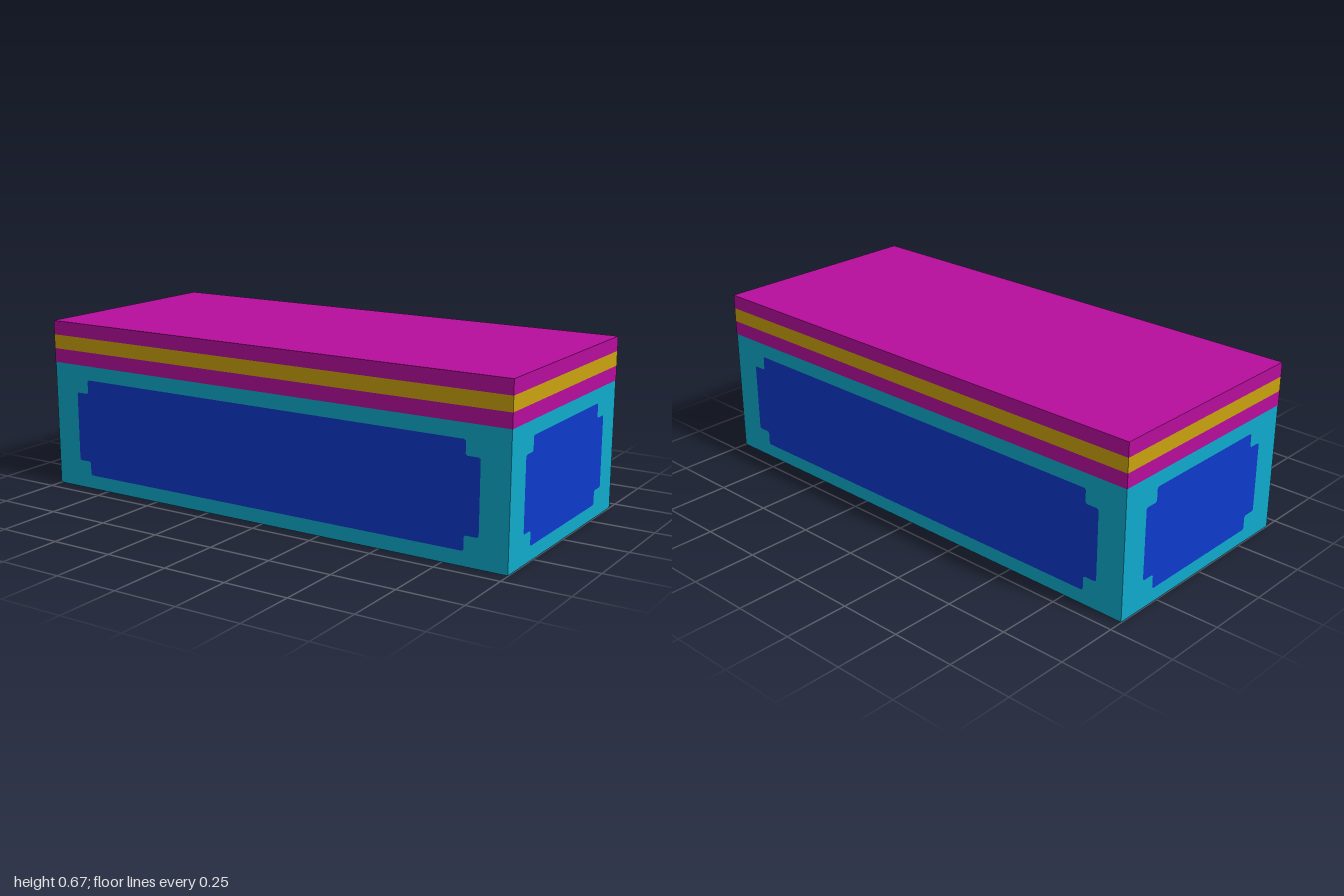
import * as THREE from 'three';

const W = 2, D = 0.889, BASE_H = 0.5, BAND_H = 0.0556;
const GAP = 0.001; // painted panels sit this far proud of the base walls

const mat = (name, color) => new THREE.MeshStandardMaterial({ name, color });

// Rectangle with stepped corners; every step edge has a tiny bevel
function panelShape(hw, hh, notch, c) {
  const corner = notch
    ? [[hw, hh - notch - c], [hw - c, hh - notch], [hw - notch + c, hh - notch],
       [hw - notch, hh - notch + c], [hw - notch, hh - c], [hw - notch - c, hh]]
    : [[hw, hh - c], [hw - c, hh]];
  const flipped = [...corner].reverse();
  const points = [
    ...corner,
    ...flipped.map(([x, y]) => [-x, y]),
    ...corner.map(([x, y]) => [-x, -y]),
    ...flipped.map(([x, y]) => [x, -y]),
  ];
  return new THREE.Shape(points.map(([x, y]) => new THREE.Vector2(x, y)));
}

export function createModel() {
  const group = new THREE.Group();
  group.name = 'box';
  const cyan = mat('cyan', 0x0faacc);
  const blue = mat('blue', 0x0d3acc);
  const magenta = mat('magenta', 0xb60d9c);
  const gold = mat('gold', 0xcaa20f);

  const add = (name, geometry, material) => {
    const mesh = new THREE.Mesh(geometry, material);
    mesh.name = name;
    group.add(mesh);
    return mesh;
  };

  // Base, inset slightly so the panels define the outer faces
  add('base', new THREE.BoxGeometry(W - 2 * GAP, BASE_H - GAP, D - 2 * GAP), cyan)
    .position.y = (BASE_H + GAP) / 2;

  // Lid made of three stacked bands
  [['lidLowerBand', magenta], ['lidStripe', gold], ['lidTop', magenta]].forEach(([name, m], i) => {
    add(name, new THREE.BoxGeometry(W, BAND_H, D), m).position.y = BASE_H + BAND_H * (i + 0.5);
  });

  // Blue panels on the four walls
  const long = new THREE.ShapeGeometry(panelShape(0.889, 0.194, 0.0556, 0.006));
  const short = new THREE.ShapeGeometry(panelShape(0.333, 0.194, 0.0556, 0.006));
  ['front', 'left', 'back', 'right'].forEach((side, i) => {
    const angle = i * Math.PI / 2;
    const dist = i % 2 ? W / 2 : D / 2;
    const panel = add(side + 'Panel', i % 2 ? short : long, blue);
    panel.rotation.y = angle;
    panel.position.set(Math.sin(angle) * dist, 0.25, Math.cos(angle) * dist);
  });

  // Underside panel
  add('bottomPanel', new THREE.ShapeGeometry(panelShape(0.889, 0.333, 0, 0.012)), blue)
    .rotation.x = Math.PI / 2;

  return group;
}
